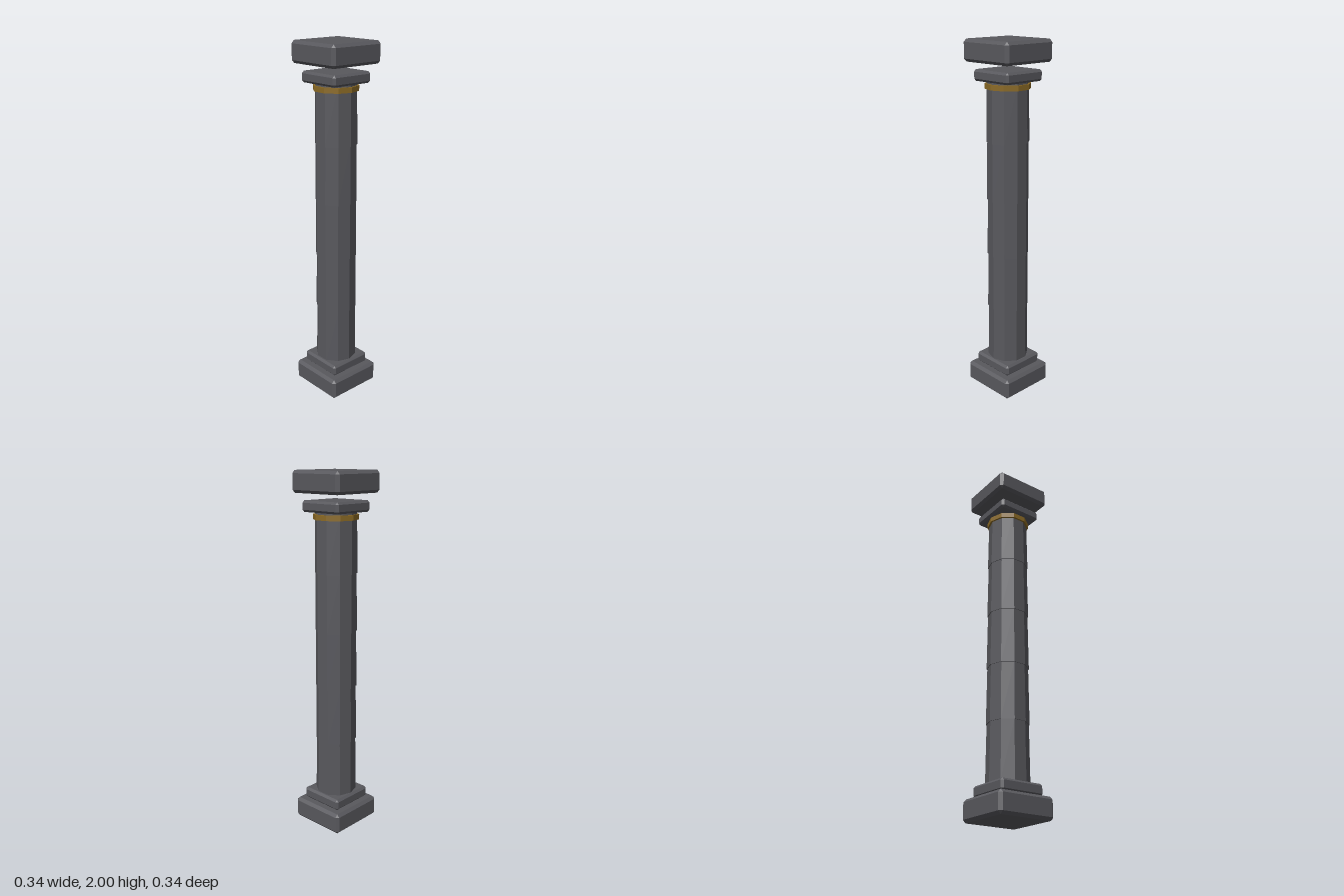
import * as THREE from 'three';
import { ConvexGeometry } from 'three/addons/geometries/ConvexGeometry.js';

const SIDES = 10;

// Box with every edge and corner cut flat
function chamferedBox(width, height, cut) {
  const w = width / 2, h = height / 2, points = [];
  for (const x of [-1, 1]) for (const y of [-1, 1]) for (const z of [-1, 1]) {
    points.push(
      new THREE.Vector3(x * w, y * (h - cut), z * (w - cut)),
      new THREE.Vector3(x * (w - cut), y * h, z * (w - cut)),
      new THREE.Vector3(x * (w - cut), y * (h - cut), z * w));
  }
  return new ConvexGeometry(points);
}

// Ten-sided drum with flat facets
function facetedDrum(top, bottom, height) {
  const geometry = new THREE.CylinderGeometry(top, bottom, height, SIDES).toNonIndexed();
  geometry.computeVertexNormals();
  return geometry;
}

export function createModel() {
  const group = new THREE.Group();
  const stone = new THREE.MeshStandardMaterial({ color: 0x58585d });
  stone.name = 'darkStone';
  const gold = new THREE.MeshStandardMaterial({ color: 0x8b6a25 });
  gold.name = 'agedGold';

  const add = (name, geometry, material, y) => {
    const mesh = new THREE.Mesh(geometry, material);
    mesh.name = name;
    mesh.position.y = y;
    group.add(mesh);
  };

  // Base and capital slabs; the top slab floats just above the capital
  add('basePlinth', chamferedBox(0.336, 0.12, 0.016), stone, 0.06);
  add('baseStep', chamferedBox(0.26, 0.064, 0.012), stone, 0.154);
  add('capitalStep', chamferedBox(0.26, 0.06, 0.012), stone, 1.816);
  add('topSlab', chamferedBox(0.336, 0.116, 0.016), stone, 1.942);

  // Shaft of five stacked drums, each slightly narrower at its top
  const count = 5, start = 0.185, step = 0.32;
  for (let i = 0; i < count; i++) {
    add('shaftDrum' + (i + 1), facetedDrum(0.112, 0.116, step), stone, start + step * (i + 0.5));
  }

  // Gold collar under the capital
  add('goldCollar', facetedDrum(0.123, 0.123, 0.028), gold, 1.762);
  return group;
}
